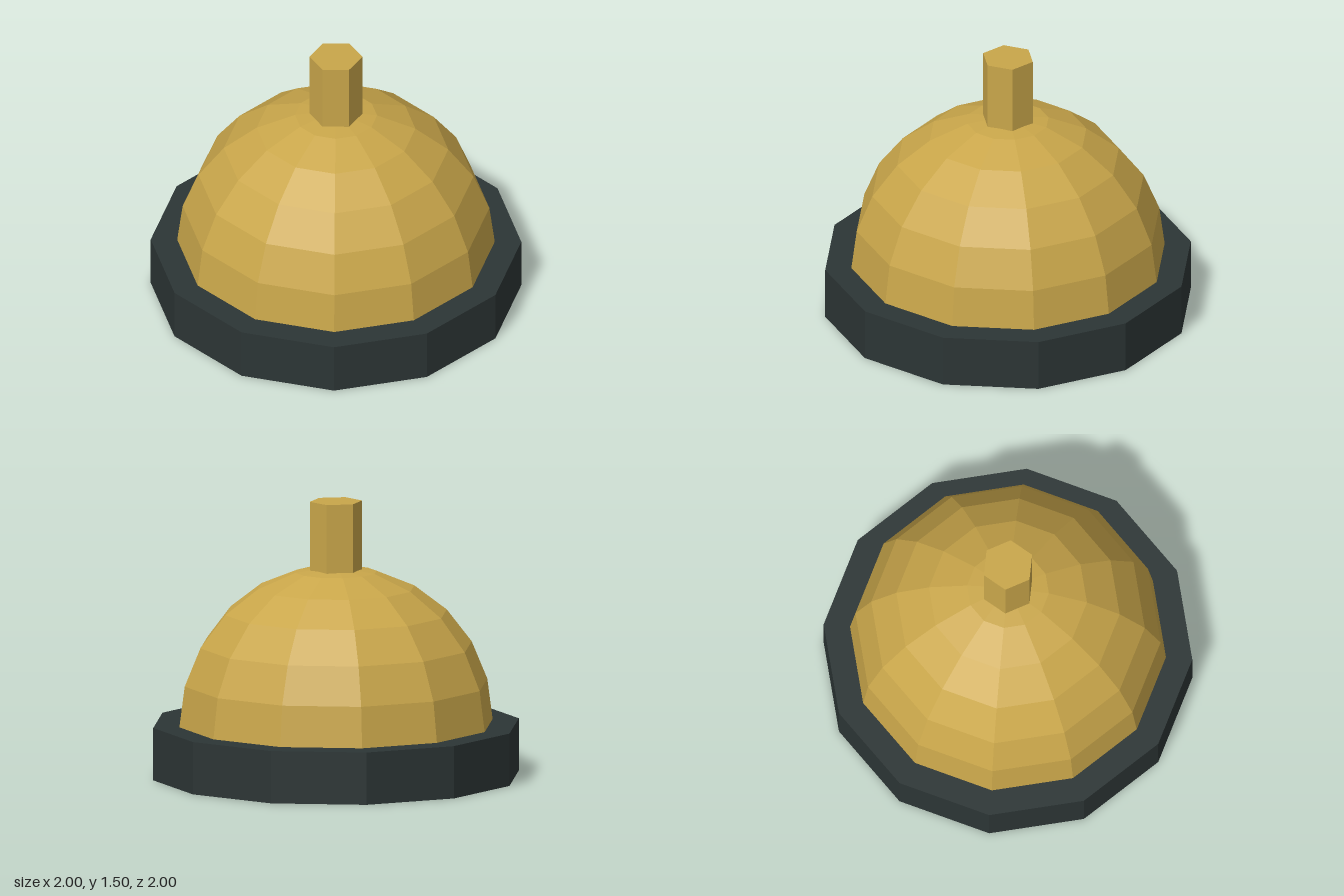
import * as THREE from 'three';

export function createModel() {
  const group = new THREE.Group();
  const brass = new THREE.MeshStandardMaterial({ color: 0xc9a64a, flatShading: true });
  brass.name = 'brass';
  const darkBase = new THREE.MeshStandardMaterial({ color: 0x2c3535, flatShading: true });
  darkBase.name = 'dark slate';

  const add = (name, geometry, material, y) => {
    const mesh = new THREE.Mesh(geometry, material);
    mesh.name = name;
    mesh.position.y = y;
    group.add(mesh);
  };

  const baseHeight = 0.286;
  const domeRadius = 0.857;
  const top = 1.5;
  const stemHeight = 0.43;

  // Twelve-sided base plate
  add('base', new THREE.CylinderGeometry(1, 1, baseHeight, 12), darkBase, baseHeight / 2);

  // Faceted half-sphere dome resting on the base
  add('dome', new THREE.SphereGeometry(domeRadius, 12, 6, 0, Math.PI * 2, 0, Math.PI / 2), brass, baseHeight);

  // Hexagonal plunger stem, sunk slightly into the dome
  add('stem', new THREE.CylinderGeometry(0.143, 0.143, stemHeight, 6), brass, top - stemHeight / 2);

  return group;
}
